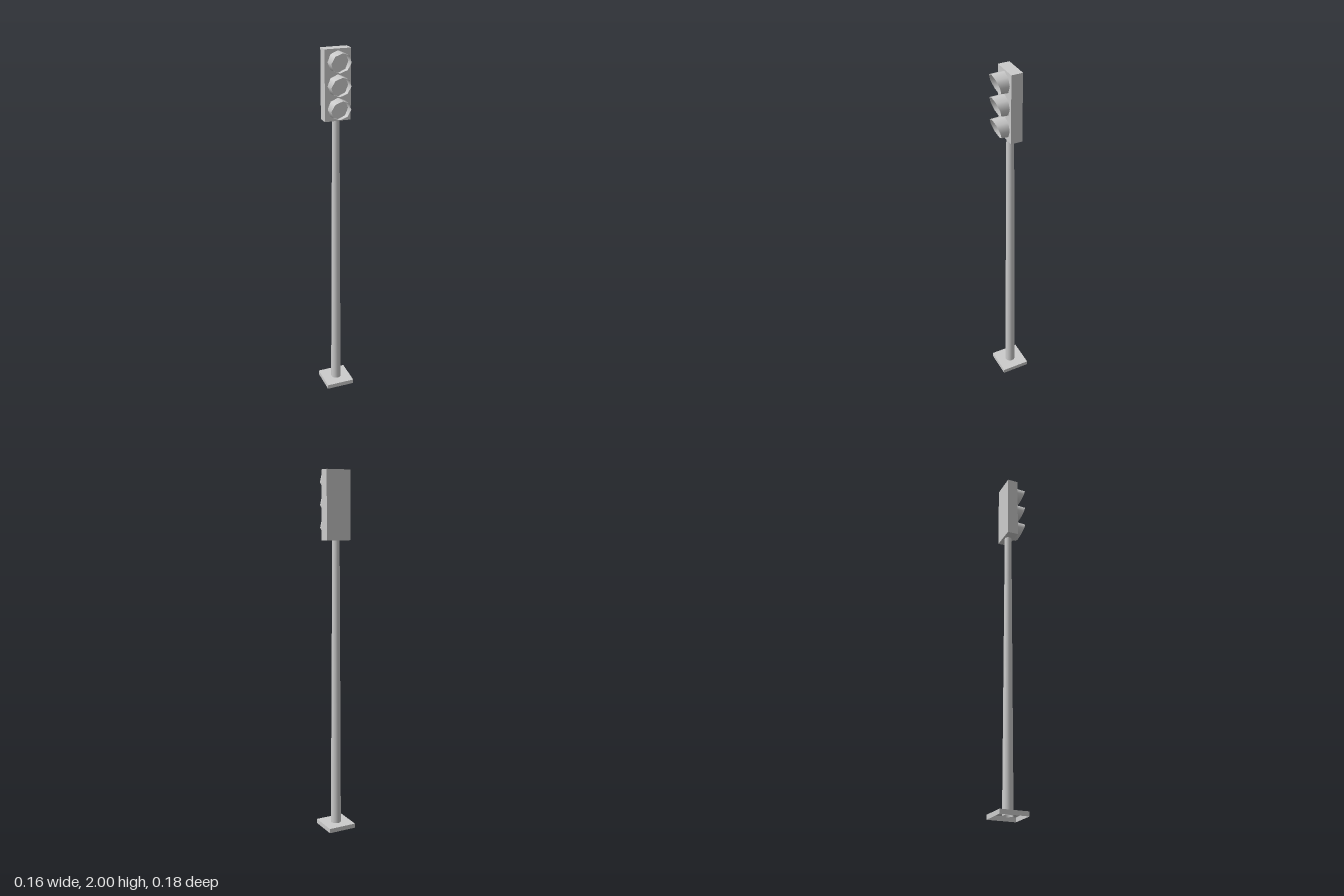
import * as THREE from 'three';

const AXIS_Z = -0.011; // shared centre line of base, pole and housing

export function createModel() {
  const model = new THREE.Group();
  const solid = new THREE.MeshStandardMaterial({ color: 0xcccccc });
  const thin = new THREE.MeshStandardMaterial({ color: 0xcccccc, side: THREE.DoubleSide });

  const add = (name, geometry, material, x, y, z) => {
    const mesh = new THREE.Mesh(geometry, material);
    mesh.name = name;
    mesh.position.set(x, y, z);
    model.add(mesh);
  };

  // Foot plate: a shallow box left open underneath
  const plate = new THREE.BoxGeometry(0.162, 0.025, 0.162);
  const faces = Array.from(plate.index.array);
  faces.splice(18, 6);
  plate.setIndex(faces);
  plate.clearGroups();
  add('basePlate', plate, thin, 0, 0.0125, AXIS_Z);

  // Tapered hollow pole
  const bottom = 0.01, top = 1.63;
  add('pole', new THREE.CylinderGeometry(0.02, 0.029, top - bottom, 12, 1, true),
    thin, 0, (bottom + top) / 2, AXIS_Z);

  // Signal housing
  add('housing', new THREE.BoxGeometry(0.142, 0.37, 0.062), solid, 0, 1.815, AXIS_Z);

  // Eight-sided visors with a slanted front rim, longest at the top
  const visor = new THREE.CylinderGeometry(0.054, 0.056, 0.05, 8, 1, true);
  visor.rotateX(Math.PI / 2);
  visor.translate(0, 0, 0.025);
  const pos = visor.attributes.position;
  for (let i = 0; i < pos.count; i++) {
    if (pos.getZ(i) > 0.025) pos.setZ(i, 0.05 + pos.getY(i) * 0.36);
  }
  ['lower', 'middle', 'upper'].forEach((level, i) => {
    add(level + 'Visor', visor, thin, 0, 1.695 + i * 0.12, 0.02);
  });

  return model;
}
